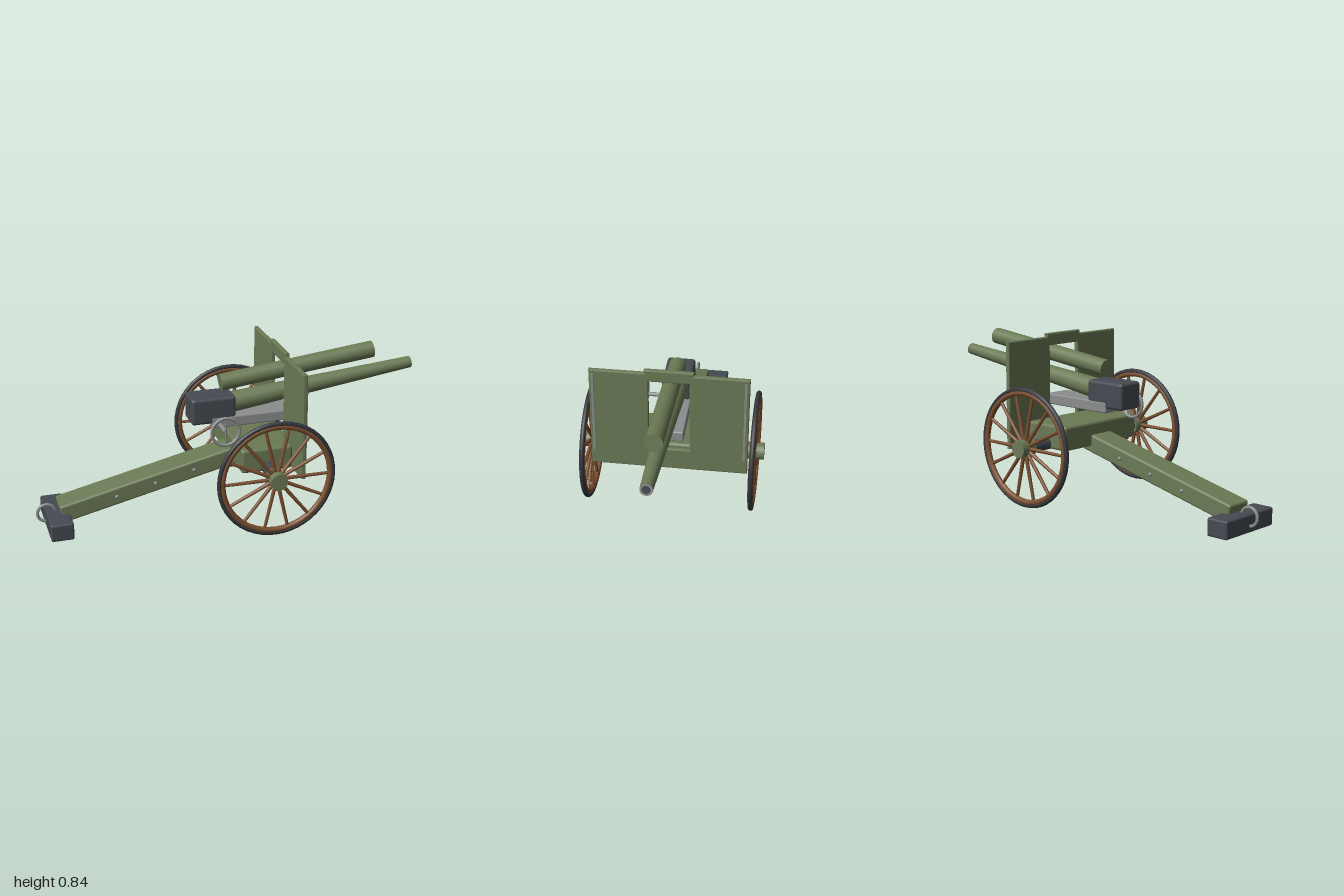
import * as THREE from 'three';
import { RoundedBoxGeometry } from 'three/addons/geometries/RoundedBoxGeometry.js';

const paint = (name, color) => {
  const m = new THREE.MeshStandardMaterial({ color });
  m.name = name;
  return m;
};

export function createModel() {
  const green = paint('olive green', 0x6b7a55);
  const dark = paint('gunmetal', 0x454a52);
  const steel = paint('bare steel', 0x8c8e8e);
  const wood = paint('wood', 0x7d5030);
  const tyreColor = paint('tyre', 0x34373c);

  const model = new THREE.Group();
  model.name = 'fieldGun';

  const add = (name, geometry, material, x = 0, y = 0, z = 0, parent = model) => {
    const mesh = new THREE.Mesh(geometry, material);
    mesh.name = name;
    mesh.position.set(x, y, z);
    parent.add(mesh);
    return mesh;
  };
  const box = (w, h, d, r = 0.01) => new RoundedBoxGeometry(w, h, d, 2, r);
  const rod = (r, length, sides = 24) => new THREE.CylinderGeometry(r, r, length, sides);

  // Carriage body and axle
  add('carriageBody', box(0.265, 0.125, 0.524, 0.015), green, 0.128, 0.3475);
  add('axle', rod(0.031, 0.8), dark, 0.126, 0.312).rotation.x = Math.PI / 2;

  // Trail beam with bolts along both sides
  const trail = new THREE.Group();
  trail.name = 'trail';
  trail.position.set(-0.415, 0.201, 0);
  trail.rotation.z = 0.231;
  model.add(trail);
  add('trailBeam', box(0.955, 0.092, 0.145, 0.012), green, 0, 0, 0, trail);
  for (const x of [-0.19, 0.016, 0.222]) {
    for (const side of [-1, 1]) {
      add('trailBolt', new THREE.SphereGeometry(0.01, 12, 8), steel, x, 0, side * 0.073, trail);
    }
  }

  // Spade and towing ring
  add('spade', box(0.115, 0.09, 0.36, 0.01), dark, -0.895, 0.05);
  add('towingRing', new THREE.TorusGeometry(0.045, 0.008, 10, 32), steel, -0.947, 0.082);

  // Wheels
  const wheelRadius = 0.303;
  for (const side of [-1, 1]) {
    const wheel = new THREE.Group();
    wheel.name = side > 0 ? 'frontWheel' : 'backWheel';
    wheel.position.set(0.126, 0.312, side * 0.414);
    model.add(wheel);
    add('tyre', new THREE.TorusGeometry(wheelRadius - 0.0125, 0.0125, 10, 48), tyreColor, 0, 0, 0, wheel);
    add('rim', new THREE.TorusGeometry(0.275, 0.0145, 10, 48), wood, 0, 0, 0, wheel);
    add('hub', rod(0.043, 0.09), green, 0, 0, side * 0.002, wheel).rotation.x = Math.PI / 2;
    for (let i = 0; i < 14; i++) {
      const a = (i / 14) * Math.PI * 2;
      const spoke = add('spoke', new THREE.CylinderGeometry(0.008, 0.01, 0.24, 8), wood,
        Math.cos(a) * 0.15, Math.sin(a) * 0.15, 0, wheel);
      spoke.rotation.z = a - Math.PI / 2;
    }
  }

  // Shield: stepped outline with a window for the barrel
  const bevel = 0.006;
  const outline = new THREE.Shape([
    [-0.382, 0.286], [0.382, 0.286], [0.382, 0.819], [0.114, 0.819], [0.114, 0.837],
    [-0.114, 0.837], [-0.114, 0.819], [-0.382, 0.819],
  ].map(([x, y]) => new THREE.Vector2(x, y)));
  outline.holes.push(new THREE.Path([
    [-0.106, 0.389], [-0.106, 0.786], [0.106, 0.786], [0.106, 0.389],
  ].map(([x, y]) => new THREE.Vector2(x, y))));
  const shield = new THREE.ExtrudeGeometry(outline, {
    depth: 0.012, bevelThickness: bevel, bevelSize: bevel, bevelSegments: 2,
  });
  shield.rotateY(Math.PI / 2);
  add('shield', shield, green, 0.268, 0, 0);
  for (const side of [-1, 1]) {
    add('shieldStrip', box(0.008, 0.445, 0.012, 0.002), steel, 0.288, 0.583, side * 0.37);
  }

  // Cradle and breech
  add('cradle', box(0.42, 0.056, 0.15, 0.008), steel, 0.108, 0.495);
  add('breech', box(0.23, 0.137, 0.145, 0.016), dark, -0.091, 0.5585);

  // Tilted tubes: each is laid from its rear end to its front end
  const tube = (name, from, to, rearRadius, frontRadius, material, open = false) => {
    const a = new THREE.Vector3(...from, 0), b = new THREE.Vector3(...to, 0);
    const geometry = new THREE.CylinderGeometry(frontRadius, rearRadius, a.distanceTo(b), 28, 1, open);
    const mid = a.clone().add(b).multiplyScalar(0.5);
    const mesh = add(name, geometry, material, mid.x, mid.y);
    mesh.rotation.z = Math.atan2(b.y - a.y, b.x - a.x) - Math.PI / 2;
    return mesh;
  };
  tube('recoilCylinder', [-0.04, 0.682], [0.775, 0.778], 0.043, 0.043, green);
  const barrel = tube('barrel', [-0.02, 0.567], [0.992, 0.686], 0.054, 0.03, green);

  // Muzzle ring and bore at the barrel tip
  const tip = barrel.geometry.parameters.height / 2;
  const ring = new THREE.RingGeometry(0.02, 0.03, 28).rotateX(-Math.PI / 2);
  add('muzzleRing', ring, steel, 0, tip + 0.002, 0, barrel);
  const bore = new THREE.CircleGeometry(0.021, 28).rotateX(-Math.PI / 2);
  add('bore', bore, dark, 0, tip + 0.001, 0, barrel);

  // Elevating handwheel
  add('handwheelShaft', rod(0.011, 0.1, 16), steel, -0.06, 0.483, 0.118).rotation.x = Math.PI / 2;
  add('handwheel', new THREE.TorusGeometry(0.072, 0.008, 10, 32), steel, -0.06, 0.483, 0.168);
  add('handwheelSpoke', rod(0.004, 0.144, 8), steel, -0.06, 0.483, 0.166);

  return model;
}
